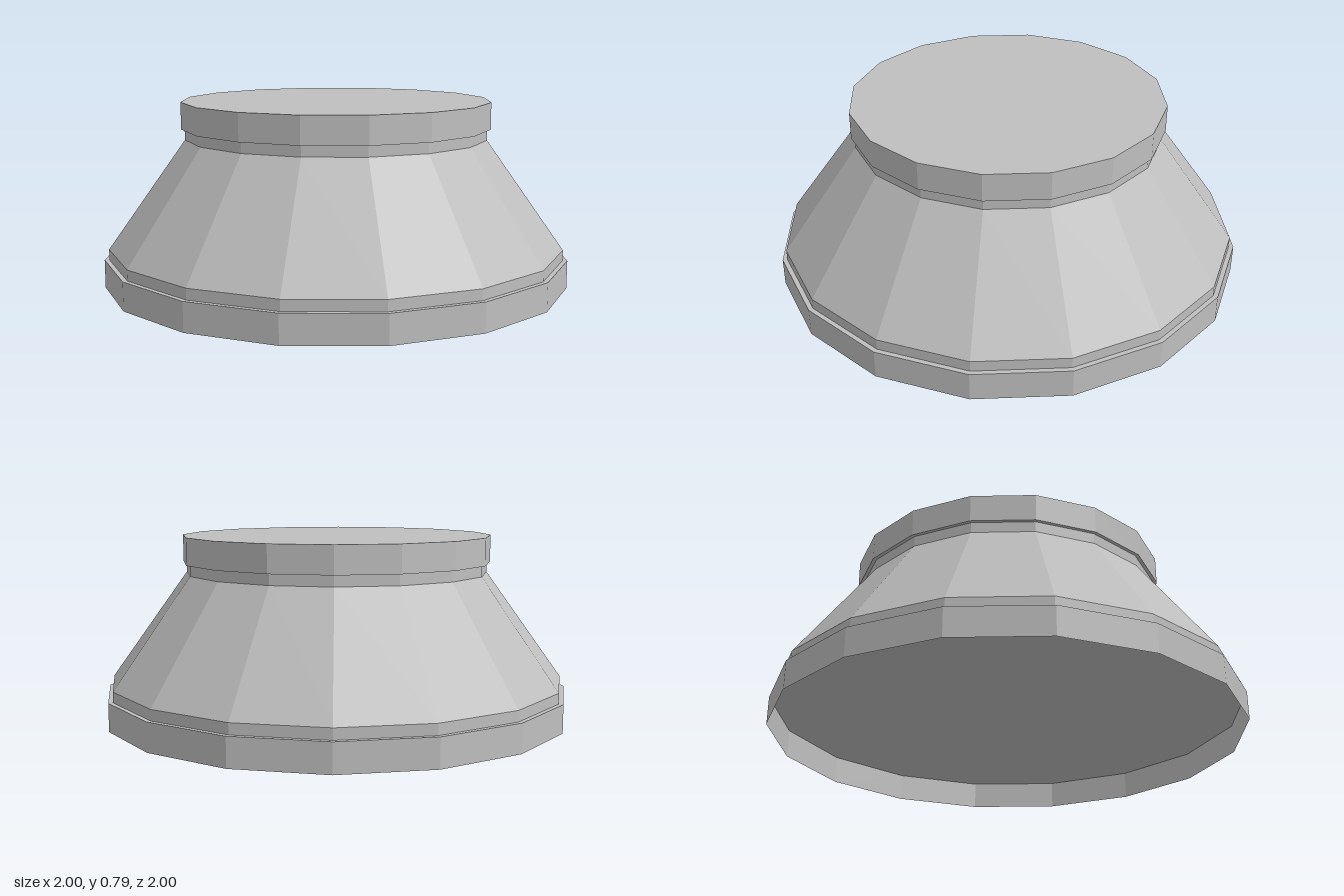
import * as THREE from 'three';

const SIDES = 16;

export function createModel() {
  const model = new THREE.Group();
  model.name = 'taperedBase';

  const grey = new THREE.MeshStandardMaterial({ color: 0xbfbfbf, flatShading: true, side: THREE.DoubleSide });
  grey.name = 'plainGrey';

  // Turns a [radius, height] profile, listed from bottom to top, into a faceted part
  const turned = (name, profile) => {
    const points = profile.map(([r, y]) => new THREE.Vector2(r, y));
    const mesh = new THREE.Mesh(new THREE.LatheGeometry(points, SIDES), grey);
    mesh.name = name;
    model.add(mesh);
  };

  // Open foot rim with a narrow ledge on top
  turned('footRim', [[1, 0], [1, 0.12], [0.98, 0.12]]);

  // Sloping body with short straight bands, closed by a recessed underside
  turned('body', [[0, 0.12], [0.98, 0.12], [0.98, 0.165], [0.65, 0.625], [0.65, 0.67]]);

  // Overhanging collar with a flat top
  turned('topCollar', [[0.65, 0.67], [0.665, 0.67], [0.665, 0.785], [0, 0.785]]);

  return model;
}
